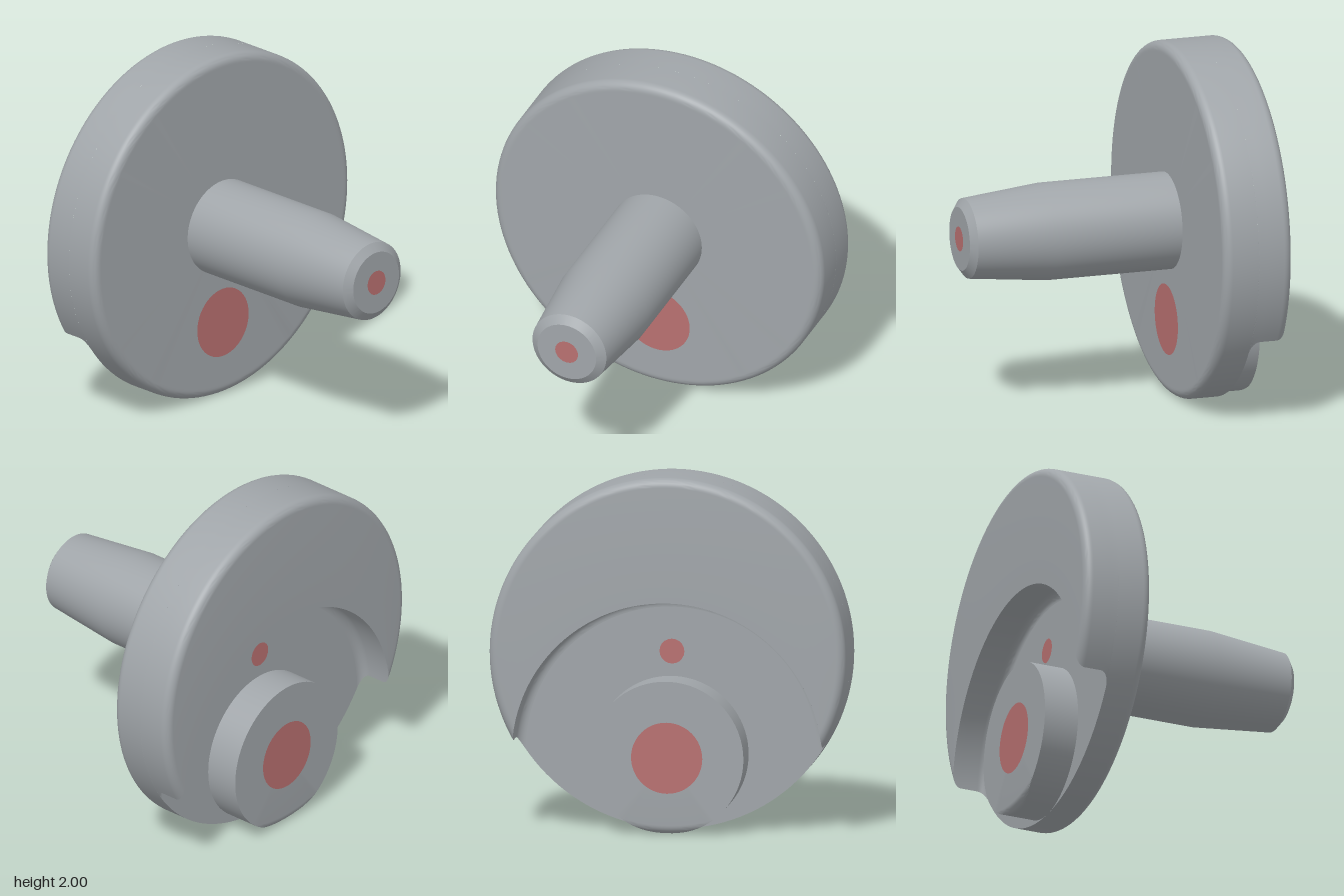
import * as THREE from 'three';
import { toCreasedNormals } from 'three/addons/utils/BufferGeometryUtils.js';

const FLOOR = -0.61;      // x of the recess floor
const DEPTH = 0.2;        // recess depth towards -x
const FILLET = 0.05;
const PIN_Y = -0.57;      // crank pin axis, relative to the shaft axis
const PIN_R = 0.43;
const CUT_R = 0.87;
const STEPS = 9;

// Rim radius and recess radius at a given height above the recess floor
const rimRadius = (d) => {
  const k = Math.max(0, d - (DEPTH - FILLET));
  return 1 - FILLET + Math.sqrt(Math.max(0, FILLET ** 2 - k ** 2));
};
const cutRadius = (d) => {
  const k = Math.max(0, FILLET - d);
  return CUT_R - FILLET + Math.sqrt(Math.max(0, FILLET ** 2 - k ** 2));
};

// Heights that follow both fillets evenly
const levels = [];
for (let i = 0; i <= STEPS; i++) levels.push(FILLET * (1 - Math.cos((i / STEPS) * Math.PI / 2)));
for (let i = 0; i <= STEPS; i++) levels.push(DEPTH - FILLET + FILLET * Math.sin((i / STEPS) * Math.PI / 2));

// Surface through rows of points
function loft(rows) {
  const n = rows[0].length;
  const index = [];
  for (let i = 0; i < rows.length - 1; i++) {
    for (let j = 0; j < n - 1; j++) {
      const a = i * n + j, d = a + n;
      index.push(a, a + 1, d, a + 1, d + 1, d);
    }
  }
  const geo = new THREE.BufferGeometry();
  geo.setAttribute('position', new THREE.Float32BufferAttribute(rows.flat(2), 3));
  geo.setIndex(index);
  geo.computeVertexNormals();
  return toCreasedNormals(geo, 0.5);
}

// Arc in the plane at height d, about (y = cy, z = 0)
function arc(d, cy, r, from, to, n) {
  return Array.from({ length: n + 1 }, (_, j) => {
    const t = from + (to - from) * j / n;
    return [FLOOR - d, cy + r * Math.sin(t), r * Math.cos(t)];
  });
}

// Crescent outline: the rim arc or the recess arc between their crossings
function crescentRow(d, onRim) {
  const ro = rimRadius(d), ri = cutRadius(d);
  const y = (ri * ri - ro * ro - PIN_Y * PIN_Y) / (-2 * PIN_Y);
  const cy = onRim ? 0 : PIN_Y, r = onRim ? ro : ri;
  const t = Math.asin((y - cy) / r);
  return arc(d, cy, r, t, Math.PI - t, 96);
}

// Pin outline, trimmed where the rounded rim is smaller
function pinRow(d, r) {
  const limit = rimRadius(d);
  return arc(d, PIN_Y, r, 0, Math.PI * 2, 96).map(([x, y, z]) => {
    const s = Math.min(1, limit / Math.hypot(y, z));
    return [x, y * s, z * s];
  });
}

// Turned part along x from [x, radius] pairs
function turned(profile) {
  const geo = new THREE.LatheGeometry(profile.map(([x, r]) => new THREE.Vector2(r, x)), 128);
  geo.rotateZ(-Math.PI / 2);
  return toCreasedNormals(geo, 0.5);
}

export function createModel() {
  const steel = new THREE.MeshStandardMaterial({ color: 0xa0a5a9 });
  steel.name = 'steel grey';
  const red = new THREE.MeshStandardMaterial({ color: 0xb87070 });
  red.name = 'marker red';

  const model = new THREE.Group();
  model.name = 'crankDisc';
  model.position.y = 1;
  const add = (name, geo, mat) => {
    const mesh = new THREE.Mesh(geo, mat);
    mesh.name = name;
    model.add(mesh);
    return mesh;
  };

  // Full round plate with a rounded edge on the shaft side
  const plate = [[FLOOR, 0], [FLOOR, 1], [-0.46, 1]];
  for (let i = 1; i <= STEPS; i++) {
    const t = (i / STEPS) * Math.PI / 2;
    plate.push([-0.46 + FILLET * Math.sin(t), 0.95 + FILLET * Math.cos(t)]);
  }
  plate.push([-0.41, 0.94], [-0.41, 0]);
  add('discPlate', turned(plate), steel);

  // Raised counterweight around the recess
  add('counterweight', loft([
    ...levels.map((d) => crescentRow(d, true)),
    ...[...levels].reverse().map((d) => crescentRow(d, false)),
  ]), steel);

  // Crank pin standing in the recess
  add('crankPin', loft([
    ...levels.map((d) => pinRow(d, PIN_R)),
    pinRow(DEPTH, 0),
  ]), steel);

  // Shaft with tapered, chamfered end
  add('shaft', turned([[-0.41, 0.272], [0.32, 0.272], [0.77, 0.225], [0.805, 0.178], [0.805, 0]]), steel);

  // Round markers on the two axes: [name, x, y, radius, facing]
  const markers = [
    ['shaftEndMarker', 0.805, 0, 0.07, 1],
    ['recessMarker', FLOOR, 0, 0.07, -1],
    ['discMarker', -0.41, PIN_Y, 0.2, 1],
    ['pinMarker', FLOOR - DEPTH, PIN_Y, 0.2, -1],
  ];
  for (const [name, x, y, r, side] of markers) {
    const mesh = add(name, new THREE.CircleGeometry(r, r > 0.1 ? 48 : 20), red);
    mesh.rotation.y = side * Math.PI / 2;
    mesh.position.set(x + side * 0.003, y, 0);
  }

  const root = new THREE.Group();
  root.name = 'crank';
  root.add(model);
  return root;
}
